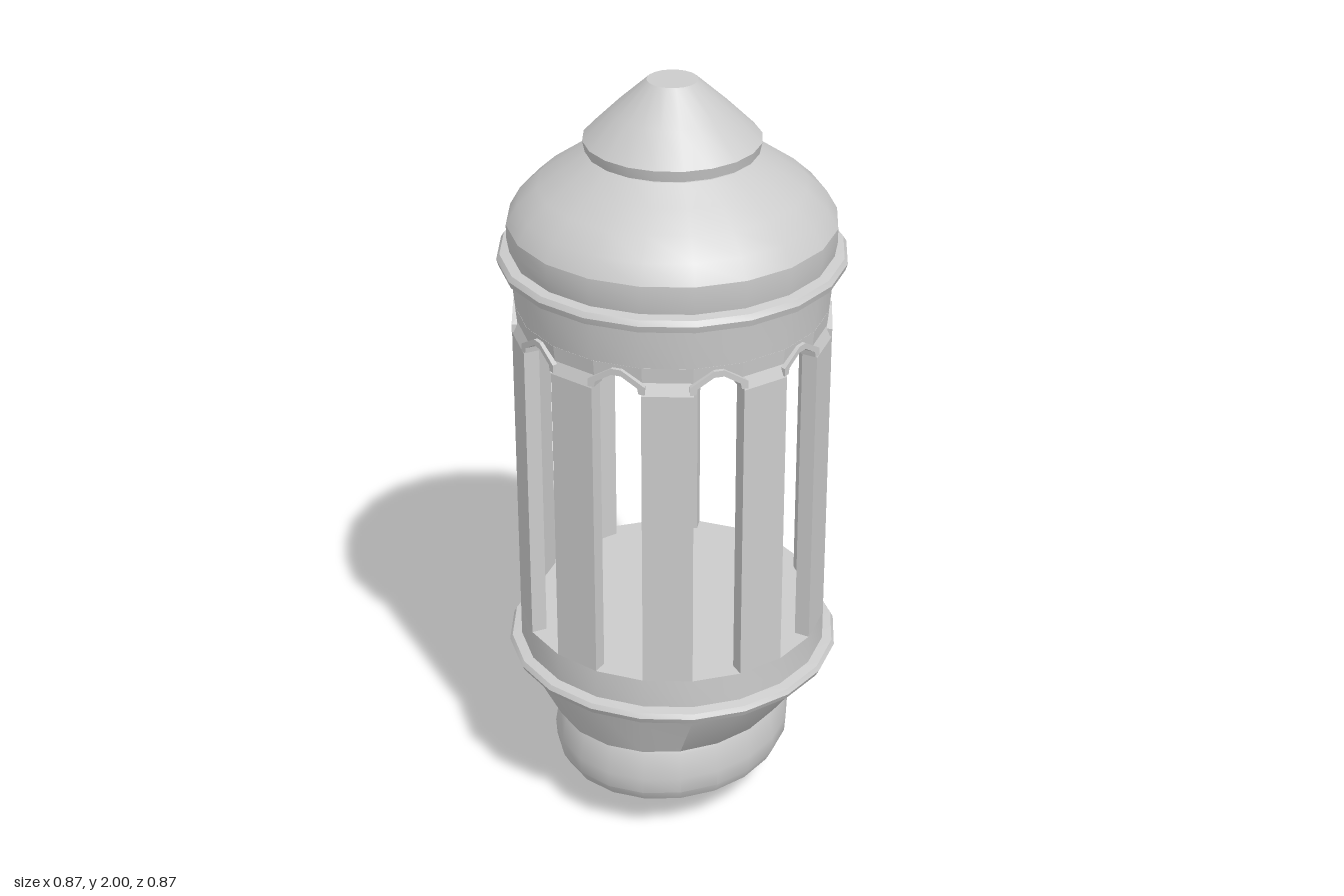
import * as THREE from 'three';
import { toCreasedNormals } from 'three/addons/utils/BufferGeometryUtils.js';

const SIDES = 20, HALF = Math.PI / SIDES;
const material = new THREE.MeshStandardMaterial({ color: 0xcccccc });

function addMesh(parent, name, geometry) {
  const mesh = new THREE.Mesh(geometry, material);
  mesh.name = name;
  parent.add(mesh);
  return mesh;
}

// Turned part from [radius, y] points, listed bottom to top
function turned(points) {
  const g = new THREE.LatheGeometry(points.map(([r, y]) => new THREE.Vector2(r, y)), SIDES);
  return toCreasedNormals(g, 0.5);
}

// Extrudes a flat outline from z = a to z = b
function slab(points, a, b) {
  const shape = new THREE.Shape(points.map(([x, y]) => new THREE.Vector2(x, y)));
  return new THREE.ExtrudeGeometry(shape, { depth: b - a, bevelEnabled: false }).translate(0, 0, a);
}

// Moves each vertex to (radius, y, t), where t = -1..1 crosses one side of the drum
function toDrum(geometry, rule) {
  const p = geometry.attributes.position;
  for (let i = 0; i < p.count; i++) {
    const [r, y, t] = rule(p.getX(i), p.getY(i), p.getZ(i));
    p.setXYZ(i, r * Math.sin(HALF) * t, y, r * Math.cos(HALF));
  }
  geometry.computeVertexNormals();
  return geometry;
}

export function createModel() {
  const model = new THREE.Group();
  model.name = 'lantern';

  // Oval foot, slightly deeper than wide
  const foot = turned([[0, 0], [0.065, 0], [0.285, 0.125], [0.3, 0.155], [0.303, 0.2],
    [0.292, 0.27], [0.285, 0.285], [0, 0.285]]);
  foot.scale(1, 1, 1.14);
  foot.computeVertexNormals();
  addMesh(model, 'foot', toCreasedNormals(foot, 0.5));

  // Flared base: oval at the bottom, round at the rim
  const base = turned([[0, 0.28], [0.29, 0.28], [0.303, 0.29], [0.397, 0.42]]);
  const bp = base.attributes.position;
  for (let i = 0; i < bp.count; i++) {
    const k = THREE.MathUtils.clamp((0.42 - bp.getY(i)) / 0.13, 0, 1);
    bp.setZ(i, bp.getZ(i) * (1 + 0.15 * k));
  }
  base.computeVertexNormals();
  addMesh(model, 'flaredBase', toCreasedNormals(base, 0.5));

  // Lower rim, sill and floor
  addMesh(model, 'sillAndFloor', turned([[0.397, 0.42], [0.405, 0.435], [0.423, 0.438], [0.432, 0.455],
    [0.425, 0.467], [0.4, 0.472], [0.4, 0.55], [0, 0.55]]));

  // Ten pillars alternating with ten pointed openings
  const pillarProfile = [[0.36, 0.55], [0.4, 0.55], [0.4, 1.355], [0.387, 1.385], [0.391, 1.425], [0.36, 1.425]];
  const pillar = toDrum(slab(pillarProfile, -1, 1), (x, y, z) => [x, y, -z]);

  const headerOutline = [[-1, 1.38], [0, 1.41], [1, 1.38], [1, 1.425], [-1, 1.425]];
  const header = toDrum(slab(headerOutline, 0, 1),
    (x, y, z) => [z > 0.5 ? 0.387 + (y - 1.385) * 0.1 : 0.36, y, x]);

  const gableOutline = [[-1.15, 1.36], [-0.9, 1.36], [-0.85, 1.375], [-0.2, 1.4], [0.2, 1.4], [0.85, 1.375],
    [0.9, 1.36], [1.15, 1.36], [1.15, 1.38], [0.2, 1.416], [-0.2, 1.416], [-1.15, 1.38]];
  const gable = toDrum(slab(gableOutline, 0.36, 0.4), (x, y, z) => [z, y, x]);

  for (let i = 0; i < SIDES; i++) {
    const angle = HALF * (2 * i + 1);
    const parts = i % 2 ? { pillar } : { openingHeader: header, openingGable: gable };
    for (const [name, geometry] of Object.entries(parts)) {
      addMesh(model, name, geometry).rotation.y = angle;
    }
  }

  // Upper ring with ceiling and rim
  addMesh(model, 'upperRing', turned([[0, 1.42], [0.39, 1.42], [0.4, 1.525], [0.412, 1.532], [0.428, 1.538],
    [0.433, 1.555], [0.425, 1.568], [0.4, 1.572]]));

  // Dome
  addMesh(model, 'dome', turned([[0.4, 1.57], [0.407, 1.61], [0.407, 1.645], [0.38, 1.692],
    [0.33, 1.738], [0.27, 1.78], [0.21, 1.822], [0, 1.83]]));

  // Conical cap with a flat tip
  addMesh(model, 'cap', turned([[0, 1.82], [0.212, 1.825], [0.218, 1.853], [0.145, 1.925],
    [0.062, 2], [0, 2]]));

  return model;
}
